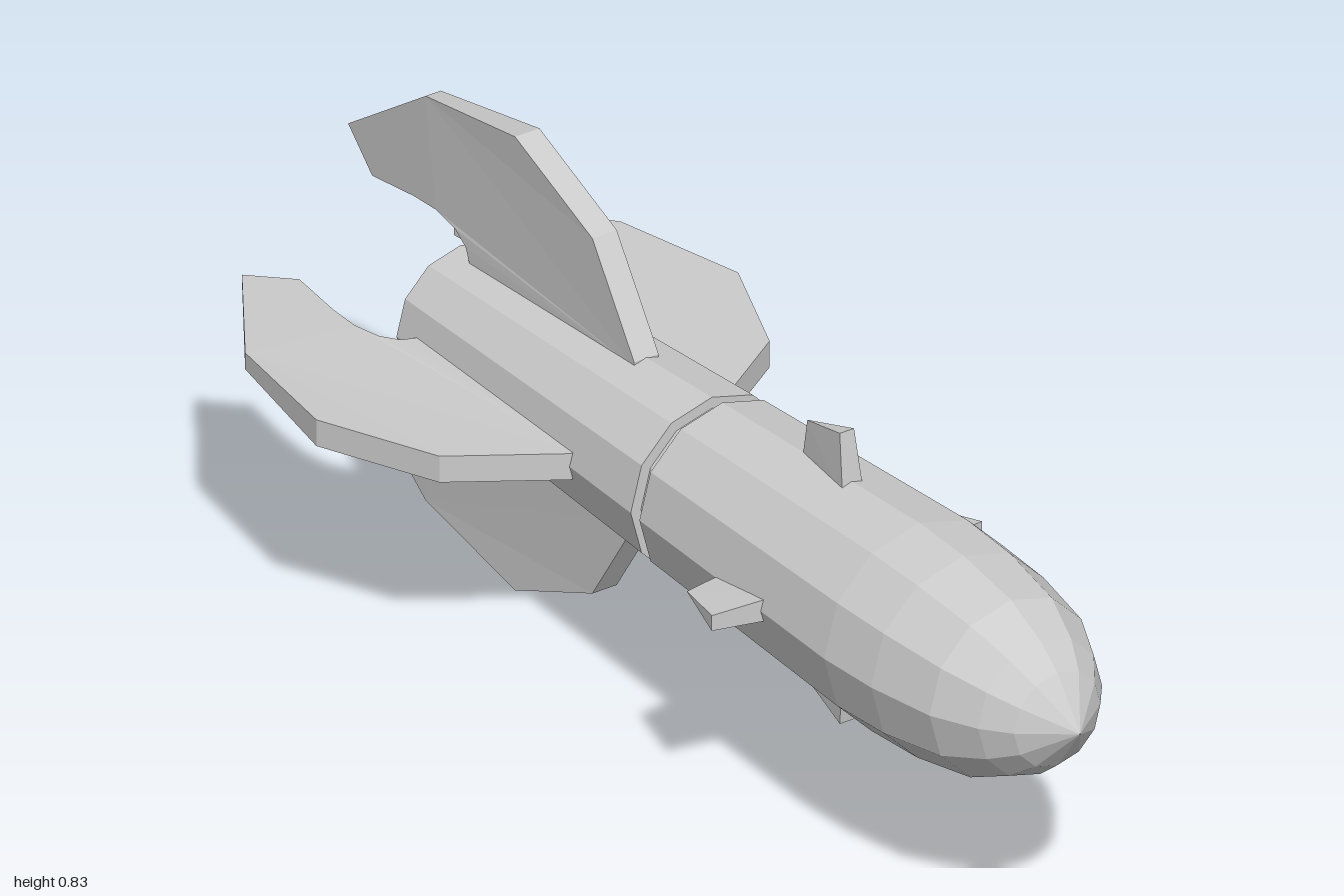
import * as THREE from 'three';

const AXIS_Y = 0.416;
const material = new THREE.MeshStandardMaterial({ color: 0xcccccc, flatShading: true });

// Twelve-sided body section around the z axis; profile is [radius, z] from back to front
function bodySection(name, profile) {
  const geometry = new THREE.LatheGeometry(profile.map(([r, z]) => new THREE.Vector2(r, z)), 12);
  geometry.rotateX(Math.PI / 2);
  const flat = geometry.toNonIndexed();
  flat.computeVertexNormals();
  const mesh = new THREE.Mesh(flat, material);
  mesh.name = name;
  return mesh;
}

// Upright blade from a [z, height] outline, with a half-thickness that varies over it
function bladeGeometry(outline, halfThickness) {
  const shape = new THREE.Shape(outline.map(([z, h]) => new THREE.Vector2(z, h)));
  const geometry = new THREE.ExtrudeGeometry(shape, { depth: 1, bevelEnabled: false });
  geometry.translate(0, 0, -0.5);
  geometry.rotateY(-Math.PI / 2);
  const p = geometry.attributes.position;
  for (let i = 0; i < p.count; i++) {
    p.setX(i, Math.sign(p.getX(i)) * halfThickness(p.getZ(i), p.getY(i)));
  }
  geometry.computeVertexNormals();
  return geometry;
}

export function createModel() {
  const model = new THREE.Group();
  model.name = 'rocketBomb';
  const core = new THREE.Group();
  core.name = 'core';
  core.position.y = AXIS_Y;
  model.add(core);

  // Rounded warhead, recessed joint and hollow tapering tail
  core.add(
    bodySection('warhead', [
      [0.14, 0.018], [0.163, 0.018], [0.188, 0.56], [0.182, 0.68],
      [0.16, 0.81], [0.122, 0.89], [0.085, 0.937], [0, 1],
    ]),
    bodySection('jointRing', [[0.14, -0.01], [0.14, 0.018]]),
    bodySection('tailTube', [
      [0, -0.4], [0.1, -0.4], [0.1, -0.7], [0.126, -0.7], [0.16, -0.01], [0.14, -0.01],
    ]),
  );

  // Swept tail fins, thinning toward the trailing tip
  const tailFin = bladeGeometry(
    [
      [-0.19, 0.14], [-0.19, 0.15], [-0.305, 0.325], [-0.517, 0.415], [-0.775, 0.37],
      [-1, 0.215], [-0.93, 0.152], [-0.81, 0.171], [-0.745, 0.176], [-0.69, 0.167],
      [-0.658, 0.147], [-0.645, 0.115],
    ],
    (z) => THREE.MathUtils.mapLinear(Math.min(z, -0.55), -0.55, -1, 0.024, 0.006),
  );

  // Small wedge fins: blunt in front, sharp behind, narrower at the tip
  const noseFin = bladeGeometry(
    [[0.378, 0.15], [0.36, 0.266], [0.252, 0.237], [0.237, 0.15]],
    (z, h) => (z > 0.3 ? THREE.MathUtils.mapLinear(h, 0.15, 0.266, 0.021, 0.014) : 0.0005),
  );

  ['top', 'left', 'bottom', 'right'].forEach((side, i) => {
    for (const [part, geometry] of [['TailFin', tailFin], ['NoseFin', noseFin]]) {
      const fin = new THREE.Mesh(geometry, material);
      fin.name = side + part;
      fin.rotation.z = -i * Math.PI / 2;
      core.add(fin);
    }
  });

  return model;
}
